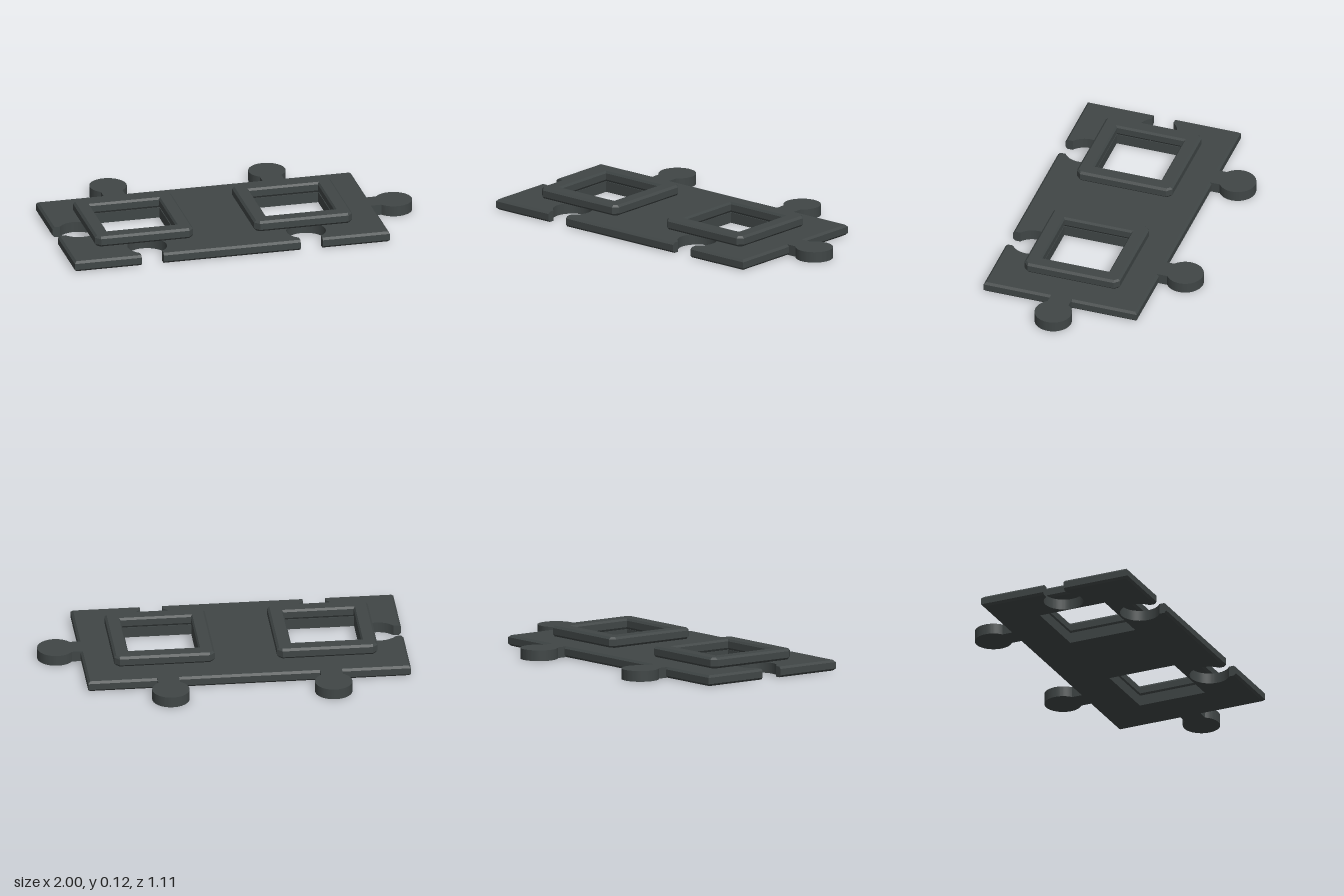
import * as THREE from 'three';
import { toCreasedNormals } from 'three/addons/utils/BufferGeometryUtils.js';

const H = 0.059;                 // thickness of plate and of frames
const CH = H / 5;                // chamfer size
const L = -1, R = 0.766, F = -0.554, B = 0.325; // plate edges (shape y = -z)
const MIDZ = -0.11;              // centre line of windows and side joints
const COLUMNS = [-0.563, 0.328]; // x of each window and its joints

// Extrude a plan shape upwards; 5 steps give the rings needed for chamfers
function slab(shape, steps, move) {
  const geo = new THREE.ExtrudeGeometry(shape, { depth: H, steps, bevelEnabled: false, curveSegments: 32 });
  geo.rotateX(-Math.PI / 2);
  const p = geo.attributes.position;
  if (move) {
    for (let i = 0; i < p.count; i++) {
      if (p.getY(i) < 1e-4 || p.getY(i) > H - 1e-4) move(p, i);
    }
  }
  return toCreasedNormals(geo, 0.5);
}

function square(Type, x, y, h) {
  const s = new Type();
  s.moveTo(x - h, y - h);
  s.lineTo(x - h, y + h);
  s.lineTo(x + h, y + h);
  s.lineTo(x + h, y - h);
  s.closePath();
  return s;
}

// Base plate with keyhole sockets in the front and right-hand edges
function plateGeometry() {
  const s = new THREE.Shape();
  const r = 0.108, w = 0.062, d = 0.13, a = Math.asin(w / r);
  s.moveTo(L, F);
  for (const x of COLUMNS) {
    s.lineTo(x - w, F);
    s.absarc(x, F + d, r, -Math.PI / 2 - a, -Math.PI / 2 + a, true);
    s.lineTo(x + w, F);
  }
  s.lineTo(R, F);
  s.lineTo(R, B);
  s.lineTo(L, B);
  s.lineTo(L, MIDZ + w);
  s.absarc(L + d, MIDZ, r, Math.PI - a, Math.PI + a, true);
  s.lineTo(L, MIDZ - w);
  s.closePath();
  for (const x of COLUMNS) s.holes.push(square(THREE.Path, x, MIDZ, 0.195));
  // chamfer only the outer straight edges
  return slab(s, 5, (p, i) => {
    p.setX(i, THREE.MathUtils.clamp(p.getX(i), L + CH, R - CH));
    p.setZ(i, THREE.MathUtils.clamp(p.getZ(i), -B + CH, -F - CH));
  });
}

// Raised window frame with cut corners and chamfered rims
function frameGeometry() {
  const o = 0.275, c = 0.247, n = 0.192;
  const s = new THREE.Shape([
    [-c, -o], [c, -o], [o, -c], [o, c], [c, o], [-c, o], [-o, c], [-o, -c],
  ].map(([x, y]) => new THREE.Vector2(x, y)));
  s.holes.push(square(THREE.Path, 0, 0, n));
  return slab(s, 5, (p, i) => {
    const x = p.getX(i), z = p.getZ(i);
    const inner = Math.max(Math.abs(x), Math.abs(z)) < n + 0.01;
    const fit = (v) => (inner ? Math.sign(v) * (n + 0.008) : THREE.MathUtils.clamp(v, -o + CH, o - CH));
    p.setX(i, fit(x));
    p.setZ(i, fit(z));
  });
}

// Round joint tab on a short neck, pointing to -z
function tabGeometry() {
  const r = 0.102, w = 0.06, a = Math.asin(w / r);
  const s = new THREE.Shape();
  s.moveTo(-w, -0.02);
  s.lineTo(w, -0.02);
  s.absarc(0, 0.13, r, -Math.PI / 2 + a, 1.5 * Math.PI - a, false);
  s.closePath();
  return slab(s, 1);
}

export function createModel() {
  const model = new THREE.Group();
  model.name = 'interlockingTile';
  const plastic = new THREE.MeshStandardMaterial({ color: 0x404646 });
  plastic.name = 'darkGreyPlastic';

  const add = (name, geo, x, y, z, turn = 0) => {
    const mesh = new THREE.Mesh(geo, plastic);
    mesh.name = name;
    mesh.position.set(x, y, z);
    mesh.rotation.y = turn;
    model.add(mesh);
  };

  add('basePlate', plateGeometry(), 0, 0, 0);
  const frame = frameGeometry(), tab = tabGeometry();
  COLUMNS.forEach((x, i) => {
    add('windowFrame' + (i + 1), frame, x, H, -MIDZ);
    add('backTab' + (i + 1), tab, x, 0, -B);
  });
  add('leftTab', tab, R, 0, -MIDZ, -Math.PI / 2);
  return model;
}
